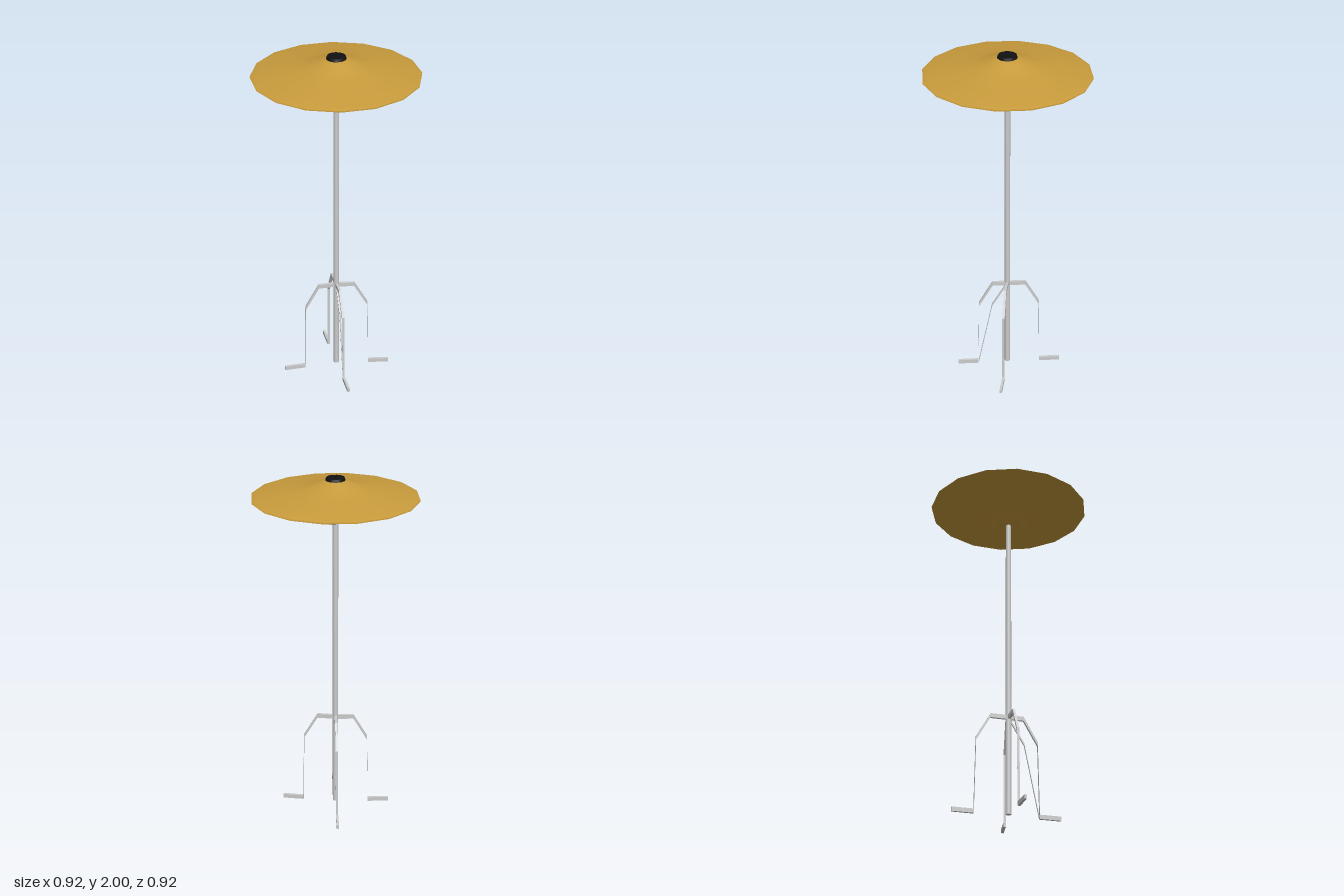
import * as THREE from 'three';

const metal = new THREE.MeshStandardMaterial({ color: 0xcccccc, side: THREE.DoubleSide, flatShading: true });
const poleMetal = new THREE.MeshStandardMaterial({ color: 0xcccccc });
const brass = new THREE.MeshStandardMaterial({ color: 0xc89b3c, side: THREE.DoubleSide });
const black = new THREE.MeshStandardMaterial({ color: 0x111111 });

function add(parent, name, geometry, material) {
  const mesh = new THREE.Mesh(geometry, material);
  mesh.name = name;
  parent.add(mesh);
  return mesh;
}

// Flat bar following [reach, height] points; its section stays upright, so steep runs become thin straps
function barGeometry(path, height, width) {
  const n = path.length - 1;
  const geometry = new THREE.BoxGeometry(n, height, width, n, 1, 1);
  const p = geometry.attributes.position;
  for (let i = 0; i < p.count; i++) {
    const [reach, y] = path[Math.round(p.getX(i) + n / 2)];
    p.setXYZ(i, reach, y + p.getY(i), p.getZ(i));
  }
  geometry.computeVertexNormals();
  return geometry;
}

export function createModel() {
  const model = new THREE.Group();
  model.name = 'cymbalStand';

  // Centre pole
  const pole = add(model, 'pole', new THREE.CylinderGeometry(0.016, 0.016, 1.97, 16), poleMetal);
  pole.position.y = 1.0;

  // Upper and lower cymbals: the same dished shell, mirrored about the gap
  const profile = [[0.016, 0.1], [0.05, 0.097], [0.085, 0.085], [0.14, 0.065], [0.2, 0.048],
    [0.32, 0.029], [0.435, 0.012], [0.458, 0.004]];
  for (const [name, side] of [['upperCymbal', 1], ['lowerCymbal', -1]]) {
    const points = profile.map(([r, h]) => new THREE.Vector2(r, 1.89 + side * h));
    if (side > 0) points.reverse();
    add(model, name, new THREE.LatheGeometry(points, 16), brass);
  }

  // Black clamp cap
  const cap = add(model, 'clampCap', new THREE.CylinderGeometry(0.05, 0.055, 0.016, 16), black);
  cap.position.y = 1.992;

  // Four bent legs with feet: [heading in degrees about y, shift of reach]
  const legs = [[0, 0], [-79, -0.018], [-170, 0], [-259, 0]];
  legs.forEach(([heading, shift], i) => {
    const path = [[0, 0.57], [0.104 + shift, 0.57], [0.185 + shift, 0.43], [0.193 + shift, 0.017], [0.315 + shift, 0.017]];
    const leg = add(model, 'leg' + (i + 1), barGeometry(path, 0.024, 0.014), metal);
    leg.rotation.y = THREE.MathUtils.degToRad(heading);
  });

  // Inner brace from the front foot up to the pole
  const brace = add(model, 'frontBrace',
    barGeometry([[0, 0.57], [0.09, 0.42], [0.172, 0.017]], 0.016, 0.008), metal);
  brace.rotation.y = THREE.MathUtils.degToRad(-79);

  return model;
}
